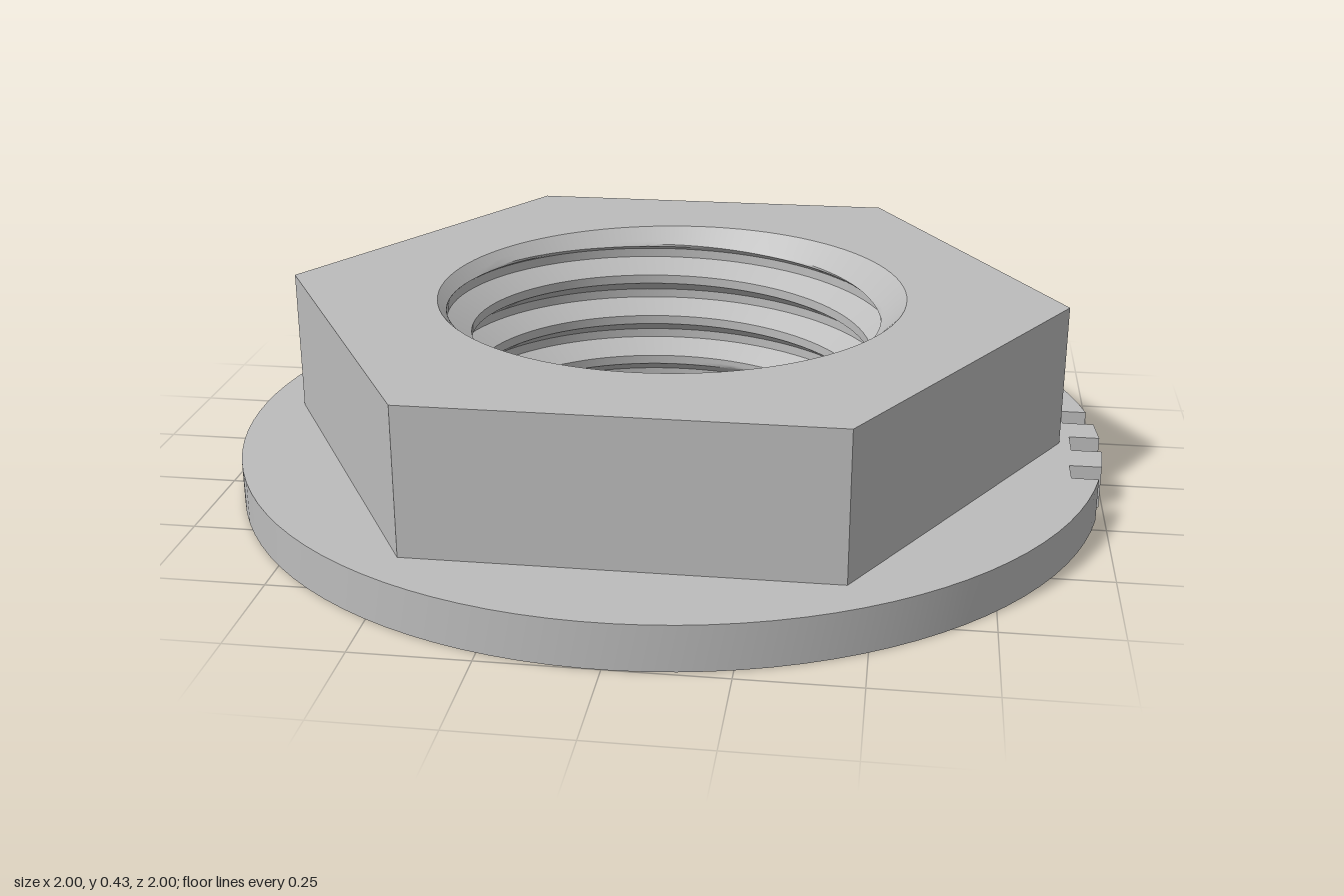
import * as THREE from 'three';
import { toCreasedNormals } from 'three/addons/utils/BufferGeometryUtils.js';

const FLANGE_TOP = 0.1, HEIGHT = 0.43;   // flange thickness, overall height
const MOUTH = 0.54, CREST = 0.465, ROOT = 0.52; // bore radii
const PITCH = 0.11, PHASE = 0.07, SEGS = 96;

// Points are [x, s] with s = -z, counter-clockwise seen from above
function ring(radius, count) {
  return Array.from({ length: count }, (_, i) => {
    const a = (i / count) * Math.PI * 2;
    return new THREE.Vector2(Math.cos(a) * radius, Math.sin(a) * radius);
  });
}

// Flange rim with three notches cut into the +x side
function flangeOutline() {
  const pts = [];
  const rim = (s) => new THREE.Vector2(Math.sqrt(1 - s * s), s);
  for (const [s0, s1, floor] of [[-0.2, -0.13, 0.92], [-0.04, 0.04, 0.93], [0.125, 0.2, 0.92]]) {
    pts.push(rim(s0), new THREE.Vector2(floor, s0), new THREE.Vector2(floor, s1), rim(s1));
  }
  const start = Math.asin(0.2), sweep = Math.PI * 2 - 2 * start;
  for (let i = 1; i < SEGS; i++) {
    const a = start + (sweep * i) / SEGS;
    pts.push(new THREE.Vector2(Math.cos(a), Math.sin(a)));
  }
  return pts;
}

// Flat face with a hole, facing up or down
function cap(outline, hole, y, up) {
  const shape = new THREE.Shape(outline);
  shape.holes.push(new THREE.Path(hole));
  return new THREE.ShapeGeometry(shape).rotateX(up ? -Math.PI / 2 : Math.PI / 2).translate(0, y, 0);
}

// Mesh a grid of rows of points, leaving out collapsed cells
function grid(rows) {
  const pos = [];
  const tri = (a, b, c) => {
    const n = b.clone().sub(a).cross(c.clone().sub(a));
    if (n.length() > 1e-9) pos.push(...a, ...b, ...c);
  };
  for (let i = 0; i + 1 < rows.length; i++) {
    for (let j = 0; j + 1 < rows[i].length; j++) {
      const a = rows[i][j], b = rows[i][j + 1], c = rows[i + 1][j + 1], d = rows[i + 1][j];
      tri(a, b, c);
      tri(a, c, d);
    }
  }
  const geo = new THREE.BufferGeometry();
  geo.setAttribute('position', new THREE.Float32BufferAttribute(pos, 3));
  return toCreasedNormals(geo, 0.5);
}

// Upright outer wall around an outline
function wall(outline, y0, y1) {
  const loop = [...outline, outline[0]];
  return grid([y0, y1].map((y) => loop.map((p) => new THREE.Vector3(p.x, y, -p.y))));
}

// Helical thread, opened by a chamfer at each end
function threadedBore() {
  const steps = 20, rows = [];
  for (let k = 6 * steps; k >= -3 * steps; k--) {
    const b = (((k % steps) + steps) % steps) / steps;
    const t = THREE.MathUtils.clamp(Math.min(b, 0.8 - b) / 0.3, 0, 1);
    const row = [];
    for (let j = 0; j <= SEGS; j++) {
      const turn = j / SEGS, a = (j % SEGS) / SEGS * Math.PI * 2;
      const y = THREE.MathUtils.clamp(PITCH * (k / steps + turn) + PHASE, 0, HEIGHT);
      const r = Math.max(CREST + (ROOT - CREST) * t, MOUTH - Math.min(y, HEIGHT - y));
      row.push(new THREE.Vector3(Math.cos(a) * r, y, -Math.sin(a) * r));
    }
    rows.push(row);
  }
  return grid(rows);
}

export function createModel() {
  const steel = new THREE.MeshStandardMaterial({ color: 0xbcbcbc });
  steel.name = 'steel grey';
  const model = new THREE.Group();
  model.name = 'flangedNut';
  const part = (name, ...geometries) => {
    const group = new THREE.Group();
    group.name = name;
    geometries.forEach((g, i) => {
      const mesh = new THREE.Mesh(g, steel);
      mesh.name = `${name}Surface${i + 1}`;
      group.add(mesh);
    });
    model.add(group);
  };

  const hex = ring(0.905, 6), mouth = ring(MOUTH, SEGS), rim = flangeOutline();
  // Notched flange: rim, shoulder around the hexagon, underside
  part('flange', wall(rim, 0, FLANGE_TOP), cap(rim, hex, FLANGE_TOP, true), cap(rim, mouth, 0, false));
  // Hexagonal body: six flats and top face
  part('hexBody', wall(hex, FLANGE_TOP, HEIGHT), cap(hex, mouth, HEIGHT, true));
  part('threadedBore', threadedBore());
  return model;
}
